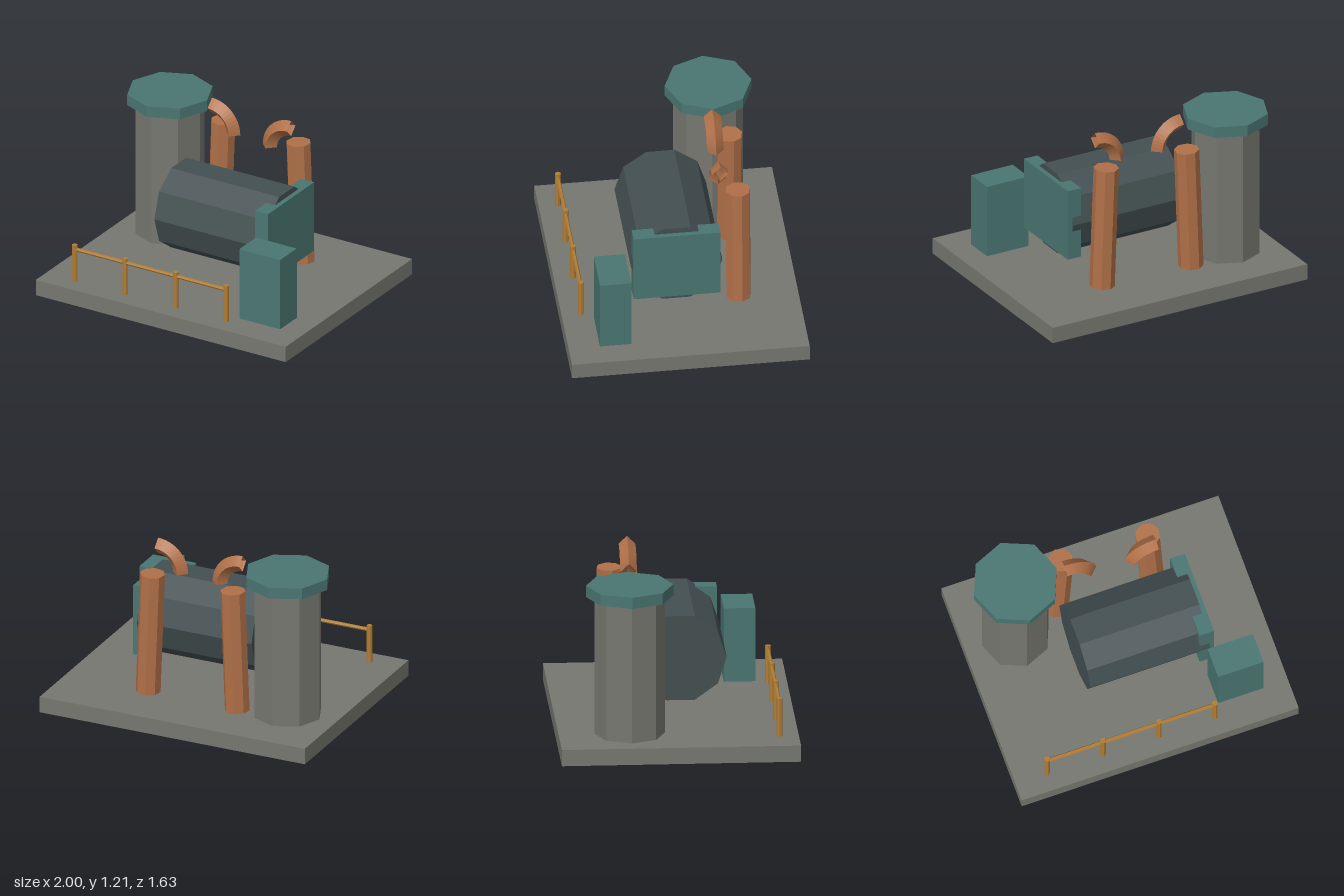
import * as THREE from 'three';

const mat = (color, side = THREE.FrontSide) =>
  new THREE.MeshStandardMaterial({ color, flatShading: true, side });

export function createModel() {
  const model = new THREE.Group();
  model.name = 'boilerPlant';

  const stone = mat(0x777770);
  const teal = mat(0x4a7672);
  const iron = mat(0x434f51);
  const copper = mat(0xb07048);
  const copperOpen = mat(0xb07048, THREE.DoubleSide);
  const brass = mat(0xb07c34);

  const add = (parent, name, geometry, material, x, y, z) => {
    const mesh = new THREE.Mesh(geometry, material);
    mesh.name = name;
    mesh.position.set(x, y, z);
    parent.add(mesh);
    return mesh;
  };
  // Box given by its minimum and maximum corners
  const box = (name, material, [x0, y0, z0], [x1, y1, z1]) =>
    add(model, name, new THREE.BoxGeometry(x1 - x0, y1 - y0, z1 - z0), material,
      (x0 + x1) / 2, (y0 + y1) / 2, (z0 + z1) / 2);

  const floor = 0.115;
  box('base', stone, [-1, 0, -0.815], [1, floor, 0.815]);

  // Octagonal tower with an overhanging cap
  add(model, 'tower', new THREE.CylinderGeometry(0.24, 0.24, 0.975, 8), stone, -0.638, 0.6025, -0.33);
  add(model, 'towerCap', new THREE.CylinderGeometry(0.298, 0.298, 0.08, 8), teal, -0.638, 1.13, -0.33);

  // Ten-sided boiler drum lying along x, with its end plate
  const drum = new THREE.CylinderGeometry(0.314, 0.314, 0.865, 10);
  drum.rotateZ(Math.PI / 2);
  add(model, 'boilerDrum', drum, iron, 0.093, 0.549, 0.037);
  box('boilerEndPlate', teal, [0.455, 0.293, -0.26], [0.56, 0.808, 0.335]);

  // Control cabinet
  box('cabinet', teal, [0.495, floor, 0.385], [0.822, 0.637, 0.6]);

  // Leaning pipes, each with a diamond-section elbow floating beside its top
  const pipes = [
    { side: 'right', x: -0.29, z: -0.432, lean: -0.038, elbowX: -0.29, elbowZ: -0.312, flip: 1 },
    { side: 'left', x: 0.36, z: -0.407, lean: 0.038, elbowX: 0.361, elbowZ: -0.284, flip: -1 },
  ];
  for (const p of pipes) {
    const shaft = new THREE.CylinderGeometry(0.087, 0.087, 0.88, 8);
    shaft.rotateY(0.2);
    add(model, p.side + 'Pipe', shaft, copper, p.x, 0.558, p.z).rotation.z = p.lean;

    const elbow = new THREE.TorusGeometry(0.17, 0.057, 4, 12, Math.PI / 2);
    if (p.flip < 0) elbow.rotateY(Math.PI);
    add(model, p.side + 'Elbow', elbow, copperOpen, p.elbowX, 0.983, p.elbowZ);
  }

  // Guard rail: four posts and one bar
  const railing = new THREE.Group();
  railing.name = 'guardRail';
  model.add(railing);
  for (let i = 0; i < 4; i++) {
    add(railing, 'railPost', new THREE.CylinderGeometry(0.02, 0.02, 0.27, 8), brass,
      -0.77 + i * 0.404, floor + 0.135, 0.683);
  }
  const bar = new THREE.CylinderGeometry(0.0135, 0.0135, 1.212, 6);
  bar.rotateZ(Math.PI / 2);
  add(railing, 'railBar', bar, brass, -0.164, 0.352, 0.683);

  return model;
}
